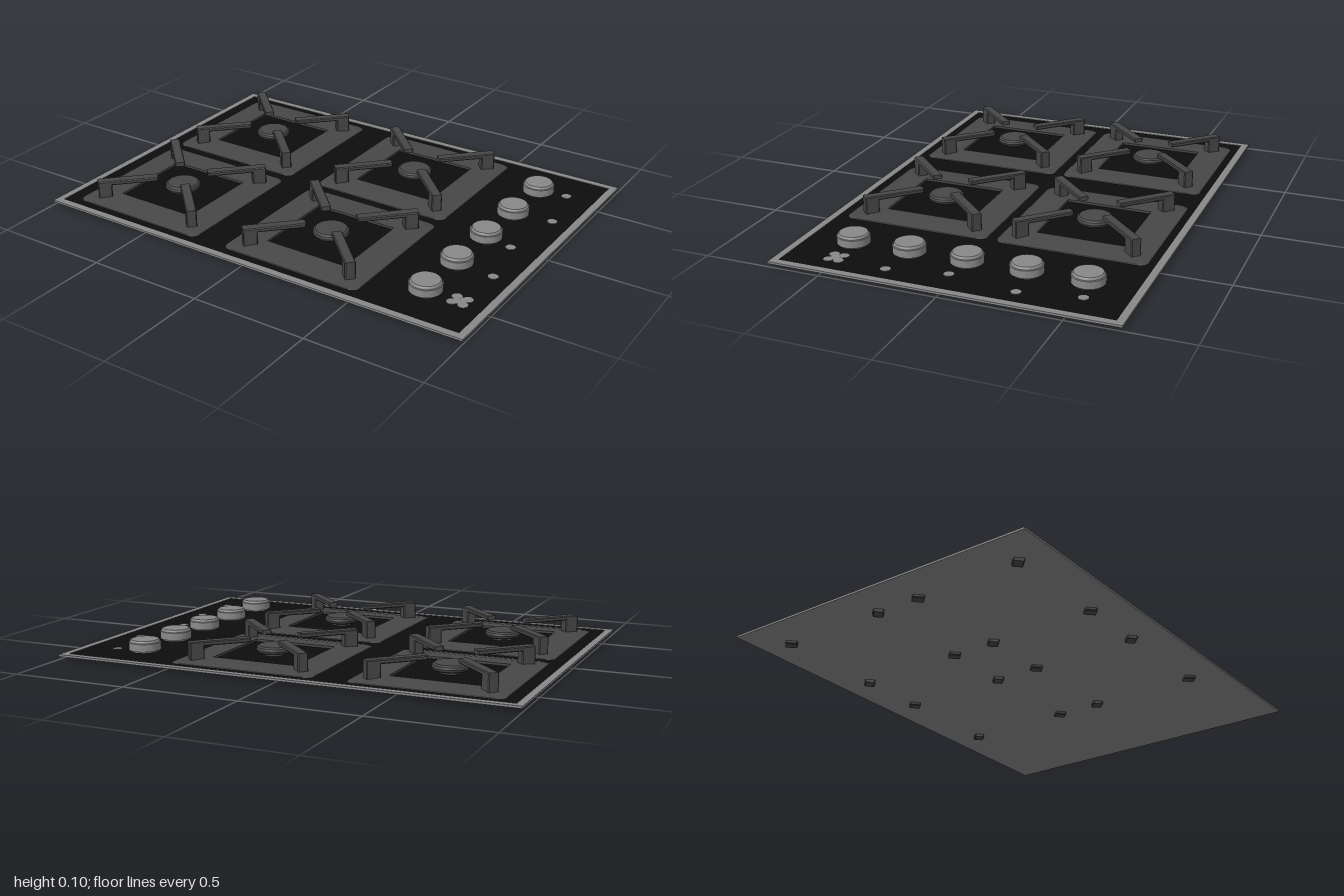
import * as THREE from 'three';
import { toCreasedNormals } from 'three/addons/utils/BufferGeometryUtils.js';

const material = (name, color) => {
  const m = new THREE.MeshStandardMaterial({ color });
  m.name = name;
  return m;
};

// Loft of rounded squares, each ring given as [half width, y, corner radius]
function roundedFrame(rings, steps = 6) {
  const positions = [], index = [], count = 4 * (steps + 1);
  for (const [half, y, r] of rings) {
    for (let c = 0; c < 4; c++) {
      const mid = Math.PI / 4 + c * Math.PI / 2;
      const cx = Math.sign(Math.cos(mid)) * (half - r);
      const cz = Math.sign(Math.sin(mid)) * (half - r);
      for (let s = 0; s <= steps; s++) {
        const a = (c + s / steps) * Math.PI / 2;
        positions.push(cx + r * Math.cos(a), y, cz + r * Math.sin(a));
      }
    }
  }
  for (let i = 0; i < rings.length - 1; i++) {
    for (let j = 0; j < count; j++) {
      const k = (j + 1) % count;
      const a = i * count + j, b = i * count + k, c = a + count, d = b + count;
      index.push(a, c, b, b, c, d);
    }
  }
  const g = new THREE.BufferGeometry();
  g.setAttribute('position', new THREE.Float32BufferAttribute(positions, 3));
  g.setIndex(index);
  return toCreasedNormals(g, 0.6);
}

const lathe = (points, segments) => toCreasedNormals(
  new THREE.LatheGeometry(points.map(p => new THREE.Vector2(...p)), segments), 0.6);

export function createModel() {
  const group = new THREE.Group();
  group.name = 'cooktop';
  const steel = material('brushed steel', 0x888888);
  const glass = material('black glass', 0x0d0d0d);
  const iron = material('cast iron', 0x474747);

  const add = (parent, name, geometry, mat, x = 0, y = 0, z = 0) => {
    const mesh = new THREE.Mesh(geometry, mat);
    mesh.name = name;
    mesh.position.set(x, y, z);
    parent.add(mesh);
    return mesh;
  };

  // Base plate, glass surface and raised steel rim
  const W = 1, D = 0.7235, rim = 0.031;
  add(group, 'basePlate', new THREE.BoxGeometry(2 * W, 0.004, 2 * D), steel, 0, 0.015, 0);
  add(group, 'glassTop', new THREE.BoxGeometry(2 * (W - rim), 0.003, 2 * (D - rim)), glass, 0, 0.0185, 0);
  const rect = (Type, w, d) => {
    const p = new Type();
    p.moveTo(-w, -d).lineTo(w, -d).lineTo(w, d).lineTo(-w, d).closePath();
    return p;
  };
  const rimShape = rect(THREE.Shape, W, D);
  rimShape.holes.push(rect(THREE.Path, W - rim, D - rim));
  const rimGeo = new THREE.ExtrudeGeometry(rimShape, { depth: 0.005, bevelEnabled: false });
  rimGeo.rotateX(-Math.PI / 2);
  add(group, 'rim', rimGeo, steel, 0, 0.017, 0);

  // Shared burner parts
  const trayGeo = roundedFrame([
    [0.32, 0.019, 0.04], [0.317, 0.022, 0.04], [0.295, 0.024, 0.04],
    [0.26, 0.029, 0.03], [0.245, 0.03, 0.025], [0.187, 0.03, 0.002], [0.187, 0.019, 0.002],
  ]);
  const burnerGeo = lathe([
    [0.045, 0.019], [0.045, 0.031], [0.066, 0.031], [0.074, 0.036], [0.077, 0.045],
    [0.074, 0.055], [0.066, 0.061], [0, 0.062],
  ], 32);
  // Side profile of one pan support: foot, leg and overhanging bar
  const bevel = 0.004, width = 0.044;
  const armShape = new THREE.Shape([
    [0.108, 0.083], [0.306, 0.083], [0.306, 0.02], [0.312, 0.014], [0.312, 0],
    [0.36, 0], [0.36, 0.014], [0.366, 0.02], [0.366, 0.102], [0.108, 0.102],
  ].map(p => new THREE.Vector2(...p)));
  const armGeo = new THREE.ExtrudeGeometry(armShape, {
    depth: width - 2 * bevel, bevelSize: bevel, bevelOffset: -bevel,
    bevelThickness: bevel, bevelSegments: 1,
  });
  armGeo.translate(0, 0, bevel - width / 2);

  // Four burners, each with tray, cap and four diagonal supports
  for (const x of [-0.595, 0.184]) {
    for (const z of [-0.342, 0.337]) {
      const burner = new THREE.Group();
      burner.name = 'burner';
      burner.position.set(x, 0, z);
      add(burner, 'tray', trayGeo, iron);
      add(burner, 'burnerCap', burnerGeo, iron);
      for (let i = 0; i < 4; i++) {
        add(burner, 'panSupport', armGeo, iron).rotation.y = Math.PI / 4 + i * Math.PI / 2;
      }
      group.add(burner);
    }
  }

  // Control knobs
  const knobGeo = lathe([
    [0.06, 0.019], [0.06, 0.025], [0.068, 0.026], [0.068, 0.058],
    [0.064, 0.06], [0.063, 0.065], [0.058, 0.07], [0, 0.07],
  ], 32);
  for (let i = 0; i < 5; i++) {
    add(group, 'knob', knobGeo, steel, 0.719, 0, -0.5 + i * 0.249);
  }

  // Position marks beside the knobs
  const markGeo = new THREE.CylinderGeometry(0.021, 0.021, 0.003, 16);
  const marks = [
    [0.842, -0.523], [0.889, -0.275], [0.842, 0.02], [0.889, 0.266],
    [0.842, 0.472], [0.889, 0.472], [0.842, 0.515], [0.889, 0.515],
  ];
  for (const [x, z] of marks) add(group, 'positionMark', markGeo, steel, x, 0.0205, z);
  add(group, 'markCentre', new THREE.BoxGeometry(0.05, 0.003, 0.05), steel, 0.8655, 0.0203, 0.4935);

  return group;
}
